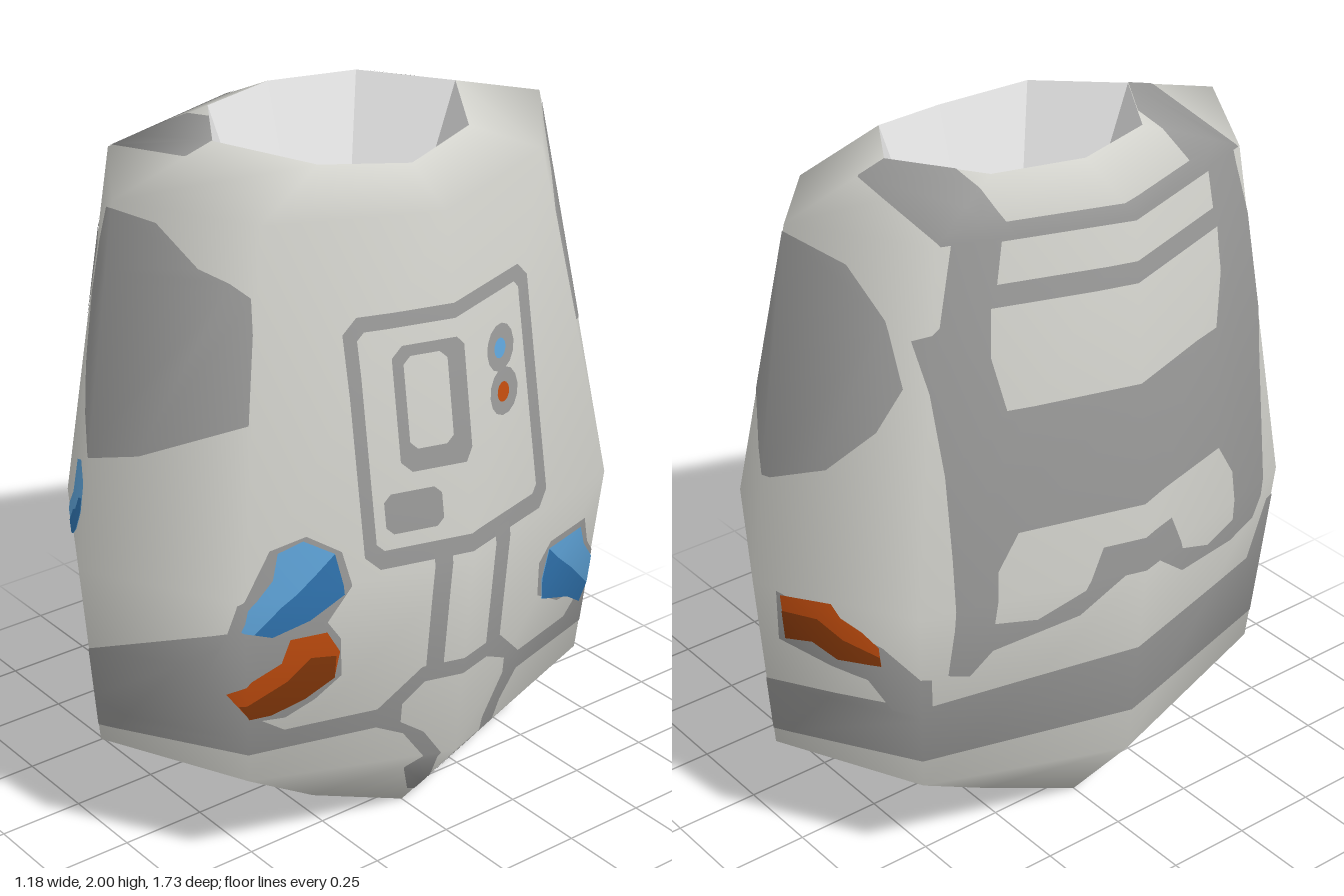
import * as THREE from 'three';

const material = (name, color) => Object.assign(new THREE.MeshStandardMaterial({ color }), { name });
const M = {
  shell: material('pale shell', 0xd2d2cc),
  grey: material('mid grey', 0x989897),
  lining: material('neck lining', 0xf6f6f6),
  blue: material('light blue', 0x5ea3d8),
  navy: material('deep blue', 0x2f72ad),
  orange: material('orange', 0xc04c0e),
  rust: material('dark orange', 0x85380a),
};

// Eight-sided rings, bottom to top; each lists its front half from left (+x) to right,
// and the back half mirrors it
const RINGS = [
  [[0.30, 0, 0], [0.22, 0.075, 0.26], [0, 0.1, 0.4], [-0.22, 0.075, 0.26], [-0.30, 0, 0]],
  [[0.53, 0.28, 0], [0.37, 0.33, 0.59], [0, 0.37, 0.82], [-0.37, 0.33, 0.59], [-0.53, 0.28, 0]],
  [[0.59, 0.91, 0], [0.42, 0.91, 0.63], [0, 0.91, 0.865], [-0.42, 0.91, 0.63], [-0.59, 0.91, 0]],
  [[0.45, 1.85, 0], [0.29, 1.87, 0.47], [0, 1.91, 0.715], [-0.345, 1.91, 0.5], [-0.51, 1.91, 0]],
  [[0.31, 1.94, 0], [0.24, 1.97, 0.25], [0, 2, 0.405], [-0.24, 2, 0.25], [-0.31, 2, 0]],
].map((half) => [...half].reverse().concat(half.slice(1, 4).map(([x, y, z]) => [x, y, -z])));
const SIDES = 8;

function geometryFrom(points, index) {
  const g = new THREE.BufferGeometry();
  g.setAttribute('position', new THREE.Float32BufferAttribute(points.flat(), 3));
  if (index) g.setIndex(index);
  g.computeVertexNormals();
  return g;
}

function shellGeometry() {
  const points = [...RINGS.flat(), [0, 0, 0]], index = [];
  for (let i = 0; i < SIDES; i++) {
    const j = (i + 1) % SIDES;
    for (let r = 0; r < RINGS.length - 1; r++) {
      const a = r * SIDES, b = a + SIDES;
      index.push(a + i, a + j, b + j, a + i, b + j, b + i);
    }
    index.push(points.length - 1, j, i); // underside
  }
  return geometryFrom(points, index);
}

// Faceted funnel that hollows out the neck
function neckGeometry() {
  const rim = RINGS[RINGS.length - 1];
  return geometryFrom(rim.flatMap((p, i) => [p, rim[(i + 1) % SIDES], [0, 0.9, 0]]));
}

// Direction, flat axes and minimum facing for each side that carries paint
const VIEWS = {
  front: { dir: [0, 0, 1], u: 'x', v: 'y', min: 0.2 },
  back: { dir: [0, 0, -1], u: 'x', v: 'y', min: 0.2 },
  left: { dir: [1, 0, 0], u: 'z', v: 'y', min: 0.2 },
  right: { dir: [-1, 0, 0], u: 'z', v: 'y', min: 0.2 },
  top: { dir: [0, 1, 0], u: 'x', v: 'z', min: 0.4 },
};

const toV2 = (pts) => pts.map(([x, y]) => new THREE.Vector2(x, y));

// Cuts a flat outline to each shell facet and lays it just above the surface
function paintGeometry(shell, view, outline, holes, lift) {
  const { dir, u, v, min } = VIEWS[view];
  const towards = new THREE.Vector3(...dir);
  const flat = [outline, ...holes].flat();
  const pieces = THREE.ShapeUtils.triangulateShape(toV2(outline), holes.map(toV2));
  const { position, normal } = shell.attributes, idx = shell.index.array;
  const pos = [], nor = [];
  for (let t = 0; t < idx.length; t += 3) {
    const ids = [idx[t], idx[t + 1], idx[t + 2]];
    const p = ids.map((i) => new THREE.Vector3().fromBufferAttribute(position, i));
    const n = ids.map((i) => new THREE.Vector3().fromBufferAttribute(normal, i));
    const face = new THREE.Triangle(...p).getNormal(new THREE.Vector3());
    if (face.dot(towards) < min) continue;
    const cross = (a, b, q) => (b[u] - a[u]) * (q[1] - a[v]) - (b[v] - a[v]) * (q[0] - a[u]);
    const area = cross(p[0], p[1], [p[2][u], p[2][v]]);
    const weights = (q) => [cross(p[1], p[2], q) / area, cross(p[2], p[0], q) / area, cross(p[0], p[1], q) / area];
    for (const piece of pieces) {
      let poly = piece.map((i) => weights(flat[i]));
      for (let k = 0; k < 3; k++) {
        const kept = [];
        poly.forEach((a, i) => {
          const b = poly[(i + 1) % poly.length];
          if (a[k] >= 0) kept.push(a);
          if ((a[k] >= 0) !== (b[k] >= 0)) {
            const f = a[k] / (a[k] - b[k]);
            kept.push(a.map((w, m) => w + (b[m] - w) * f));
          }
        });
        poly = kept;
      }
      if (poly.length < 3) continue;
      const blend = (w, set) => new THREE.Vector3().addScaledVector(set[0], w[0]).addScaledVector(set[1], w[1]).addScaledVector(set[2], w[2]);
      const norms = poly.map((w) => blend(w, n).normalize());
      const verts = poly.map((w, i) => blend(w, p).addScaledVector(norms[i], lift));
      for (let i = 1; i < poly.length - 1; i++) {
        const tri = [0, i, i + 1];
        const turn = new THREE.Triangle(...tri.map((m) => verts[m])).getNormal(new THREE.Vector3());
        if (turn.dot(face) < 0) tri.reverse();
        tri.forEach((m) => { pos.push(...verts[m].toArray()); nor.push(...norms[m].toArray()); });
      }
    }
  }
  const g = new THREE.BufferGeometry();
  g.setAttribute('position', new THREE.Float32BufferAttribute(pos, 3));
  g.setAttribute('normal', new THREE.Float32BufferAttribute(nor, 3));
  return g;
}

// Outline helpers
const rect = (a, b, c, d, r = 0.02) => [[a + r, b], [c - r, b], [c, b + r], [c, d - r], [c - r, d], [a + r, d], [a, d - r], [a, b + r]];
const disc = (x, y, r) => Array.from({ length: 14 }, (_, i) => [x + r * Math.cos(i * Math.PI / 7), y + r * Math.sin(i * Math.PI / 7)]);
const mirrored = (half) => [...half, ...half.map(([z, y]) => [-z, y]).reverse()];

export function createModel() {
  const model = new THREE.Group();
  model.name = 'body';
  const shell = shellGeometry();
  const add = (name, geometry, mat) => {
    const mesh = new THREE.Mesh(geometry, mat);
    mesh.name = name;
    model.add(mesh);
  };
  const paint = (name, mat, view, outline, holes = [], layer = 1) =>
    add(name, paintGeometry(shell, view, outline, holes, layer * 0.002), mat);

  add('shell', shell, M.shell);
  add('neckHollow', neckGeometry(), M.lining);

  // Large patches, front and back
  const patch = [[0, 1.89], [-0.15, 1.83], [-0.25, 1.7], [-0.31, 1.53], [-0.26, 1.4], [-0.15, 1.27], [-0.02, 1.22],
    [0.1, 1.24], [0.35, 1.37], [0.32, 1.6], [0.3, 1.69], [0.18, 1.75], [0.09, 1.86]];
  paint('frontPatch', M.grey, 'front', patch);
  paint('backPatch', M.grey, 'back', patch);

  // Belt around the lower body
  paint('beltLeftFront', M.grey, 'left', [[0.9, 0.42], [0.22, 0.42], [0.22, 0.48], [0.5, 0.48], [0.6, 0.55], [0.6, 0.83], [0.63, 0.82], [0.865, 0.65], [0.9, 0.65]]);
  paint('beltLeftBack', M.grey, 'left', [[-0.25, 0.42], [-0.9, 0.42], [-0.9, 0.58], [-0.62, 0.58], [-0.5, 0.48], [-0.25, 0.48]]);
  paint('beltRight', M.grey, 'right', [[0.9, 0.42], [0.9, 0.65], [0, 0.64], [-0.9, 0.59], [-0.9, 0.42]]);

  // Control panel on the left side
  paint('panelFrame', M.grey, 'left', rect(-0.345, 0.93, 0.3, 1.61, 0.04), [rect(-0.3, 0.98, 0.265, 1.57)]);
  paint('screenFrame', M.grey, 'left', rect(-0.03, 1.18, 0.18, 1.52, 0.03), [rect(0.03, 1.24, 0.15, 1.49)]);
  paint('label', M.grey, 'left', rect(0.075, 1.02, 0.235, 1.13));
  [[1.42, M.blue], [1.3, M.orange]].forEach(([y, mat]) => {
    paint('buttonRing', M.grey, 'left', disc(-0.195, y, 0.064));
    paint('button', mat, 'left', disc(-0.19, y, 0.027), [], 2);
  });

  // Piping under the panel
  paint('pipe', M.grey, 'left', rect(0.06, 0.55, 0.11, 0.95, 0.005));
  paint('pipe', M.grey, 'left', rect(-0.165, 0.55, -0.1, 0.95, 0.005));
  paint('pipeLoop', M.grey, 'left',
    [[0.24, 0.48], [0.12, 0.59], [-0.16, 0.59], [-0.27, 0.48], [-0.27, 0.42], [-0.2, 0.35], [-0.15, 0.25], [-0.13, 0.12],
      [-0.06, 0.05], [0.02, 0.07], [0.09, 0.2], [0.09, 0.28], [0.16, 0.38], [0.24, 0.42]],
    [[[0.17, 0.48], [0.11, 0.54], [-0.11, 0.54], [-0.2, 0.49], [-0.2, 0.44], [-0.12, 0.33], [-0.08, 0.15], [-0.05, 0.09],
      [-0.01, 0.12], [0.04, 0.28], [0.1, 0.37], [0.17, 0.42]]]);

  // Harness on the right side, with pale windows, and its straps over the shoulder
  const harness = [[0.46, 1.93], [0.53, 1.7], [0.57, 1.66], [0.56, 1.3], [0.56, 0.85], [0.53, 0.79], [0.42, 0.77], [0.18, 0.8], [0.06, 0.9],
    [-0.06, 0.9], [-0.18, 0.8], [-0.42, 0.75], [-0.48, 0.68], [-0.54, 0.7], [-0.53, 0.85], [-0.53, 1.3], [-0.56, 1.66], [-0.51, 1.7], [-0.46, 1.93]];
  const upper = mirrored([[0.34, 1.9], [0.36, 1.79]]);
  const middle = mirrored([[0.38, 1.73], [0.39, 1.6], [0.36, 1.45]]);
  const lower = mirrored([[0.35, 1.1], [0.41, 1.0], [0.42, 0.84], [0.3, 0.82], [0.17, 0.88], [0.12, 1.0]]);
  paint('harness', M.grey, 'right', harness, [upper, middle, lower]);
  paint('frontStrap', M.grey, 'top', rect(-0.44, 0.3, 0, 0.49, 0.005));
  paint('backStrap', M.grey, 'top', rect(-0.44, -0.49, 0, -0.3, 0.005));

  // Grey surrounds of the levers
  paint('leverSurround', M.grey, 'front', [[-0.42, 0.64], [-0.42, 0.82], [-0.33, 0.88], [-0.2, 0.9], [-0.24, 0.83], [-0.25, 0.76], [-0.36, 0.71], [-0.4, 0.64]]);
  paint('leverSurround', M.grey, 'back', [[-0.4, 0.58], [-0.41, 0.7], [-0.32, 0.79], [-0.06, 0.9], [-0.05, 0.74], [-0.18, 0.69], [-0.27, 0.67], [-0.32, 0.58]]);
  paint('leverSurround', M.grey, 'left', [[0.65, 0.8], [0.64, 0.9], [0.55, 1.04], [0.45, 1.06], [0.36, 1.0], [0.34, 0.9], [0.4, 0.8],
    [0.36, 0.74], [0.35, 0.62], [0.42, 0.56], [0.5, 0.52], [0.62, 0.53], [0.68, 0.6]]);
  paint('leverSurround', M.grey, 'left', [[-0.34, 0.63], [-0.33, 0.74], [-0.38, 0.79], [-0.55, 0.79], [-0.58, 0.7], [-0.64, 0.62], [-0.6, 0.54], [-0.45, 0.56]]);

  // Levers: a light face with a darker lower face
  const lever = (name, view, light, dark, whole, under) => {
    paint(name, light, view, whole, [], 2);
    paint(name + 'Underside', dark, view, under, [], 3);
  };
  lever('frontBlueLever', 'front', M.blue, M.navy,
    [[-0.31, 0.87], [-0.31, 0.93], [-0.24, 1.0], [-0.21, 1.11], [-0.13, 1.15], [-0.04, 1.13], [-0.04, 1.05], [-0.1, 0.97], [-0.15, 0.93], [-0.24, 0.88]],
    [[-0.28, 0.88], [-0.2, 0.97], [-0.15, 1.0], [-0.1, 1.06], [-0.04, 1.09], [-0.04, 1.05], [-0.1, 0.97], [-0.15, 0.93], [-0.24, 0.88]]);
  lever('leftBlueLever', 'left', M.blue, M.navy,
    [[0.63, 0.82], [0.62, 0.89], [0.55, 0.96], [0.53, 1.03], [0.46, 1.05], [0.38, 1.0], [0.36, 0.88], [0.45, 0.82], [0.55, 0.79]],
    [[0.55, 0.79], [0.6, 0.81], [0.53, 0.88], [0.44, 0.95], [0.38, 1.0], [0.36, 0.88], [0.45, 0.82]]);
  lever('leftOrangeLever', 'left', M.orange, M.rust,
    [[0.64, 0.61], [0.6, 0.66], [0.52, 0.7], [0.5, 0.77], [0.4, 0.77], [0.36, 0.7], [0.37, 0.62], [0.45, 0.57], [0.54, 0.54], [0.6, 0.54]],
    [[0.62, 0.58], [0.5, 0.64], [0.44, 0.7], [0.37, 0.69], [0.37, 0.62], [0.45, 0.57], [0.54, 0.54], [0.6, 0.54]]);
  lever('rearBlueLever', 'left', M.blue, M.navy,
    [[-0.37, 0.77], [-0.53, 0.77], [-0.56, 0.7], [-0.64, 0.6], [-0.57, 0.5], [-0.5, 0.55], [-0.36, 0.61], [-0.35, 0.68]],
    [[-0.37, 0.77], [-0.42, 0.72], [-0.5, 0.65], [-0.6, 0.55], [-0.57, 0.5], [-0.5, 0.55], [-0.36, 0.61], [-0.35, 0.68]]);
  lever('backOrangeLever', 'back', M.orange, M.rust,
    [[-0.07, 0.75], [-0.07, 0.89], [-0.2, 0.9], [-0.22, 0.86], [-0.27, 0.83], [-0.31, 0.79], [-0.31, 0.73], [-0.2, 0.72], [-0.14, 0.76]],
    [[-0.07, 0.75], [-0.07, 0.84], [-0.16, 0.84], [-0.22, 0.79], [-0.31, 0.76], [-0.31, 0.73], [-0.2, 0.72], [-0.14, 0.76]]);

  return model;
}
